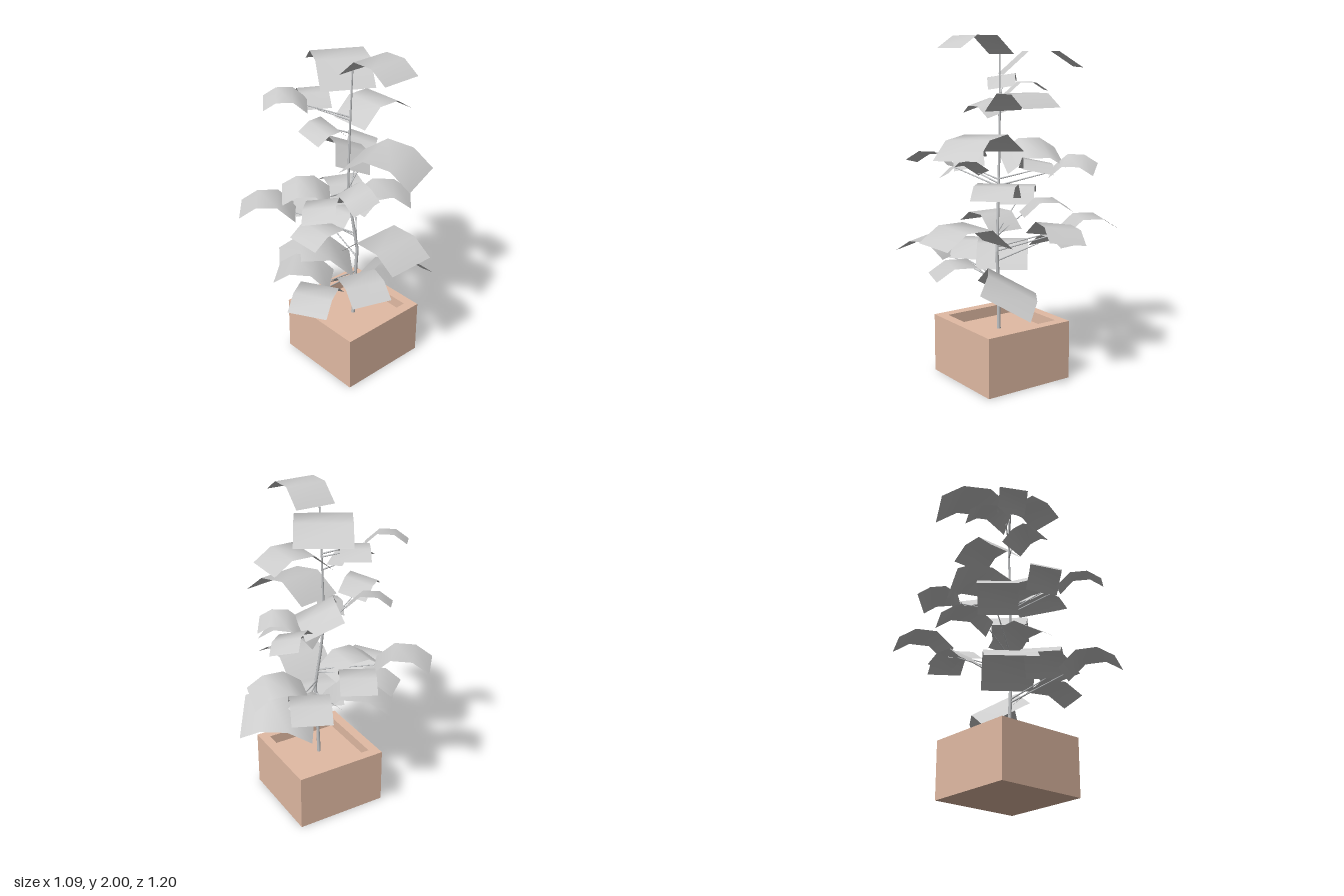
import * as THREE from 'three';

const potMat = new THREE.MeshStandardMaterial({ color: 0xe2bba4 });
potMat.name = 'terracotta';
const leafMat = new THREE.MeshStandardMaterial({ color: 0xcccccc, side: THREE.DoubleSide });
leafMat.name = 'leaf grey';
const stemMat = new THREE.MeshStandardMaterial({ color: 0xc4c6c8 });
stemMat.name = 'stem grey';

const PX = 0.069, PZ = -0.078, POT = 0.576, POT_H = 0.35, RIM = 0.06;

function named(mesh, name) {
  mesh.name = name;
  return mesh;
}

function squarePoints(half) {
  return [[-half, -half], [half, -half], [half, half], [-half, half]].map(([x, y]) => new THREE.Vector2(x, y));
}

// Square planter: a hollow wall with a recessed bed inside
function makePot() {
  const pot = named(new THREE.Group(), 'pot');
  const shape = new THREE.Shape(squarePoints(POT / 2));
  shape.holes.push(new THREE.Path(squarePoints(POT / 2 - RIM).reverse()));
  const wall = new THREE.ExtrudeGeometry(shape, { depth: POT_H, bevelEnabled: false }).rotateX(-Math.PI / 2);
  const inner = POT - 2 * RIM, bedH = 0.285;
  const bed = new THREE.BoxGeometry(inner, bedH, inner).translate(0, bedH / 2, 0);
  pot.add(named(new THREE.Mesh(wall, potMat), 'potWall'), named(new THREE.Mesh(bed, potMat), 'potBed'));
  pot.position.set(PX, 0, PZ);
  return pot;
}

// Unit leaf: a sheet that rises, runs level and drops at the tip
const RUN = [0, 0.32, 0.7, 1], RISE = [0, 0.29, 0.29, 0.09];
const leafGeo = new THREE.PlaneGeometry(0.7, 1, 1, 3).rotateX(-Math.PI / 2);
const leafPos = leafGeo.attributes.position;
for (let i = 0; i < leafPos.count; i++) {
  const row = Math.floor(i / 2);
  leafPos.setY(i, RISE[row]);
  leafPos.setZ(i, RUN[row]);
}
leafGeo.computeVertexNormals();

function makeLeaf([x, y, z, dx, dz, length, roll = 0, pitch = 0]) {
  const leaf = named(new THREE.Mesh(leafGeo, leafMat), 'leaf');
  leaf.rotation.order = 'YXZ';
  leaf.rotation.set(pitch, Math.atan2(dx, dz), roll);
  leaf.scale.setScalar(length);
  leaf.position.set(x, y, z);
  return leaf;
}

// Stem nodes, bottom to top
const NODES = [
  [0.08, 0.27, -0.07], [0.085, 0.5, -0.075], [0.1, 0.76, -0.08], [0.075, 1, -0.055],
  [0.058, 1.2, -0.04], [0.058, 1.55, -0.05], [0.065, 1.9, -0.06],
].map((p) => new THREE.Vector3(...p));

function stemAt(y) {
  const i = Math.max(1, NODES.findIndex((n) => n.y >= y));
  const a = NODES[i - 1], b = NODES[i];
  return a.clone().lerp(b, (y - a.y) / (b.y - a.y));
}

// Tapered rod between two points
function rod(a, b, r0, r1, name) {
  const dir = b.clone().sub(a);
  const mesh = new THREE.Mesh(new THREE.CylinderGeometry(r1, r0, dir.length(), 8), stemMat);
  mesh.position.copy(a).add(b).multiplyScalar(0.5);
  mesh.quaternion.setFromUnitVectors(new THREE.Vector3(0, 1, 0), dir.normalize());
  return named(mesh, name);
}

// Leaves: base x, y, z, heading x, z, length, roll, pitch
const STEM_LEAVES = [
  [0.069, 1.9, -0.08, 1, 0, 0.35],
  [0.05, 1.785, -0.045, -0.87, -0.5, 0.45],
  [0.042, 1.577, -0.06, 0, -1, 0.366],
  [0.055, 1.343, -0.07, 0.945, -0.33, 0.44, 0.06, 0.12],
  [0.055, 1.275, -0.08, -0.93, -0.36, 0.34, 0.42],
  [0.067, 1.076, -0.077, 0.707, -0.707, 0.335],
  [0.01, 0.865, -0.05, 0, 1, 0.325],
  [0.103, 0.8, -0.09, 1, 0, 0.44],
  [0.06, 0.64, -0.07, -0.61, 0.79, 0.44],
  [0.1, 0.58, -0.01, 0.94, 0.33, 0.35],
  [0.085, 0.51, -0.1, 0.57, -0.82, 0.445, -0.5, 0.01],
];
const BRANCH_LEAVES = [
  [-0.09, 1.7, 0.136, -0.62, 0.78, 0.243, -0.15],
  [-0.075, 1.665, 0.075, -0.88, -0.475, 0.24],
  [0.025, 1.553, 0.01, 0.05, 1, 0.235, -0.26],
  [-0.134, 1.235, -0.29, -0.64, -0.77, 0.255, 0.3],
  [-0.035, 1.245, -0.245, 0.52, -0.85, 0.24, -0.2],
  [0.2, 1.235, 0.24, 0.62, 0.785, 0.265, 0.2],
  [0.13, 1.225, 0.163, -0.62, 0.785, 0.27, -0.2],
  [0.11, 1.21, 0.04, 0.98, 0.18, 0.25, 0.3, 0.1],
  [-0.2, 0.975, 0.15, -0.65, 0.76, 0.33],
  [-0.17, 0.93, 0.04, -0.88, -0.47, 0.3],
  [-0.2, 0.87, -0.297, -0.907, -0.42, 0.325],
  [-0.106, 0.865, -0.257, 0.247, -0.97, 0.325, -0.15, 0.07],
  [-0.18, 0.78, -0.12, -0.15, -0.99, 0.26],
  [0.2, 0.68, 0.262, 0.5, 0.866, 0.325],
  [0.146, 0.67, 0.172, -0.76, 0.65, 0.325],
];

export function createModel() {
  const model = named(new THREE.Group(), 'pottedPlant');
  model.add(makePot());

  // Stem
  const stem = named(new THREE.Group(), 'stem');
  const radius = (y) => 0.013 - 0.0045 * y;
  for (let i = 1; i < NODES.length; i++) {
    const a = NODES[i - 1], b = NODES[i];
    stem.add(rod(a, b, radius(a.y), radius(b.y), 'stemSegment'));
  }
  model.add(stem);

  // Foliage, with thin branches reaching out to the farther leaves
  const branches = named(new THREE.Group(), 'branches');
  const leaves = named(new THREE.Group(), 'leaves');
  for (const l of STEM_LEAVES) leaves.add(makeLeaf(l));
  for (const l of BRANCH_LEAVES) {
    leaves.add(makeLeaf(l));
    const end = new THREE.Vector3(l[0], l[1], l[2]);
    const reach = Math.hypot(end.x - 0.07, end.z + 0.06);
    branches.add(rod(stemAt(end.y - 0.3 * reach), end, 0.005, 0.003, 'branch'));
  }
  model.add(branches, leaves);
  return model;
}
